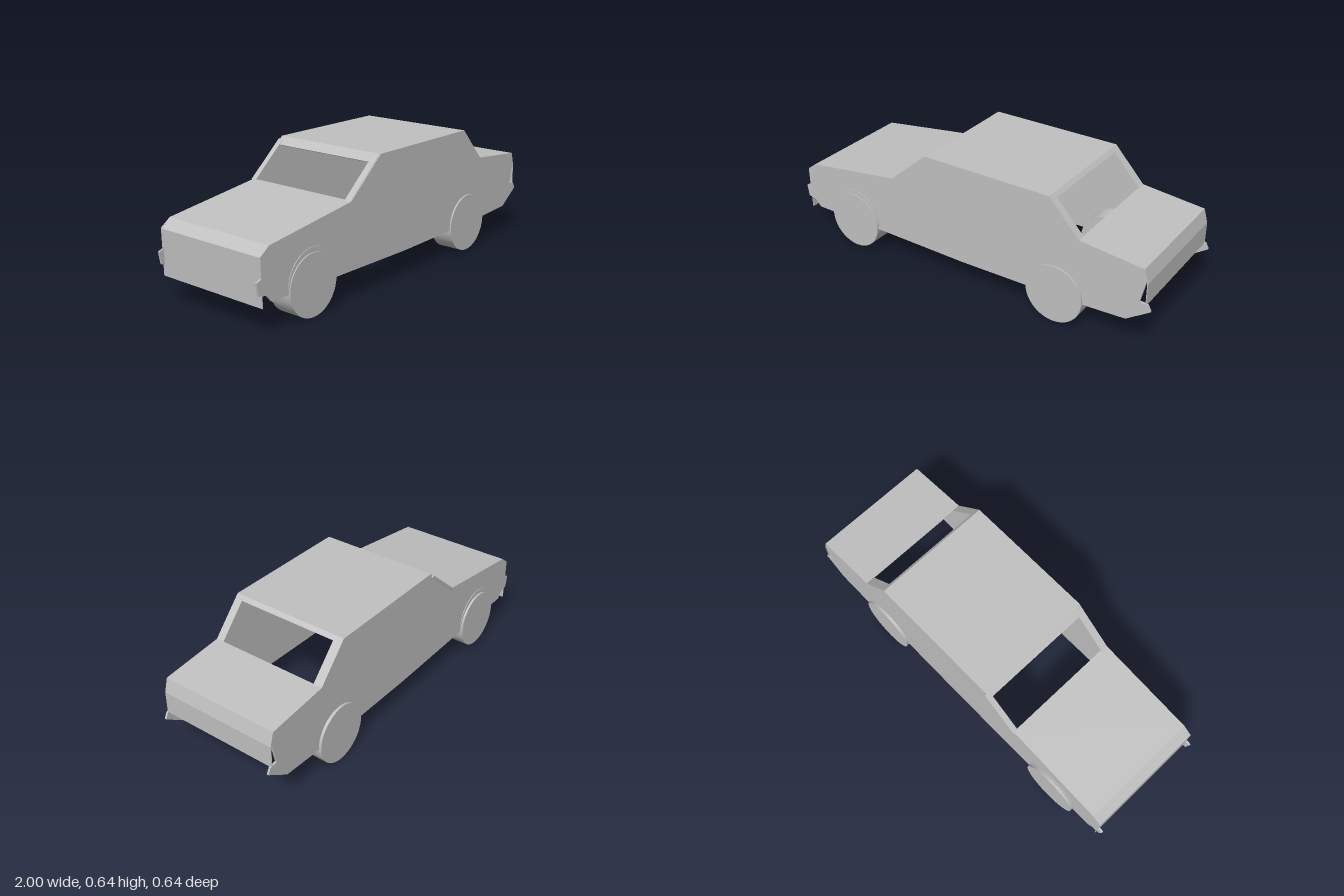
import * as THREE from 'three';

const Z_LEFT = -0.306, Z_RIGHT = 0.312; // outer faces of the two body sides
const SIDE_T = 0.01;

export function createModel() {
  const car = new THREE.Group();
  car.name = 'car';
  const paint = new THREE.MeshStandardMaterial({ color: 0xc0c0c0, side: THREE.DoubleSide });
  paint.name = 'plain grey';

  const add = (name, geometry, x = 0, y = 0, z = 0) => {
    const mesh = new THREE.Mesh(geometry, paint);
    mesh.name = name;
    mesh.position.set(x, y, z);
    car.add(mesh);
    return mesh;
  };

  // Thin sheet whose outer face runs from a to b (in x, y) and spans z0 to z1
  const sheet = (name, a, b, z0 = Z_LEFT, z1 = Z_RIGHT, t = 0.004) => {
    const dx = b[0] - a[0], dy = b[1] - a[1], len = Math.hypot(dx, dy);
    const mesh = add(name, new THREE.BoxGeometry(len, t, z1 - z0),
      (a[0] + b[0]) / 2 + (dy / len) * t / 2,
      (a[1] + b[1]) / 2 - (dx / len) * t / 2,
      (z0 + z1) / 2);
    mesh.rotation.z = Math.atan2(dy, dx);
  };

  // Body sides: full silhouette with bumper ends
  const outline = [
    [-0.975, 0.355], [-0.925, 0.391], [-0.41, 0.46], [-0.2, 0.639], [0.48, 0.639],
    [0.635, 0.47], [0.955, 0.437], [0.97, 0.38], [0.945, 0.27], [0.985, 0.265],
    [1, 0.235], [0.885, 0.155], [0.71, 0.145], [0.37, 0.135], [0, 0.13],
    [-0.5, 0.138], [-0.915, 0.145], [-0.945, 0.18], [-0.99, 0.19], [-1, 0.25],
    [-0.972, 0.26],
  ];
  const side = new THREE.ExtrudeGeometry(
    new THREE.Shape(outline.map(([x, y]) => new THREE.Vector2(x, y))),
    { depth: SIDE_T, bevelEnabled: false });
  add('rightBodySide', side, 0, 0, Z_RIGHT - SIDE_T);
  add('leftBodySide', side, 0, 0, Z_LEFT);

  // Panels spanning between the sides
  sheet('nosePanel', [-0.972, 0.13], [-0.976, 0.352]);
  sheet('hoodLip', [-0.976, 0.352], [-0.925, 0.392]);
  sheet('hood', [-0.925, 0.392], [-0.4, 0.463]);
  sheet('windscreenHeader', [-0.24, 0.606], [-0.2, 0.641]);
  sheet('roof', [-0.2, 0.641], [0.48, 0.641]);
  sheet('rearWindowHeader', [0.48, 0.641], [0.497, 0.622]);
  sheet('trunkLid', [0.635, 0.471], [0.957, 0.439]);
  sheet('tailUpperPanel', [0.957, 0.439], [0.977, 0.37]);
  sheet('tailLowerPanel', [0.977, 0.37], [0.977, 0.26]);

  // Window pillars
  sheet('windscreenPillar', [-0.41, 0.461], [-0.215, 0.63], -0.313, -0.285, 0.012);
  sheet('windscreenPillar', [-0.41, 0.461], [-0.215, 0.63], 0.274, 0.308, 0.012);
  sheet('rearWindowPillar', [0.48, 0.641], [0.637, 0.471], Z_LEFT, -0.26);
  sheet('rearWindowPillar', [0.48, 0.641], [0.637, 0.471], 0.271, Z_RIGHT);

  // Wheels
  const wheel = new THREE.CylinderGeometry(0.148, 0.148, 0.122, 40).rotateX(Math.PI / 2);
  for (const z of [-0.259, 0.259]) {
    add('frontWheel', wheel, -0.667, 0.148, z);
    add('rearWheel', wheel, 0.52, 0.148, z);
  }

  // Raised arches over the front wheels
  const lip = new THREE.Shape();
  lip.absarc(0, 0, 0.15, 0, Math.PI, false);
  lip.absarc(0, -0.022, 0.146, Math.PI, 0, true);
  const arch = new THREE.ExtrudeGeometry(lip, { depth: 0.003, bevelEnabled: false, curveSegments: 24 });
  add('frontWheelArch', arch, -0.667, 0.17, Z_RIGHT);
  add('frontWheelArch', arch, -0.667, 0.17, Z_LEFT - 0.003);

  return car;
}
